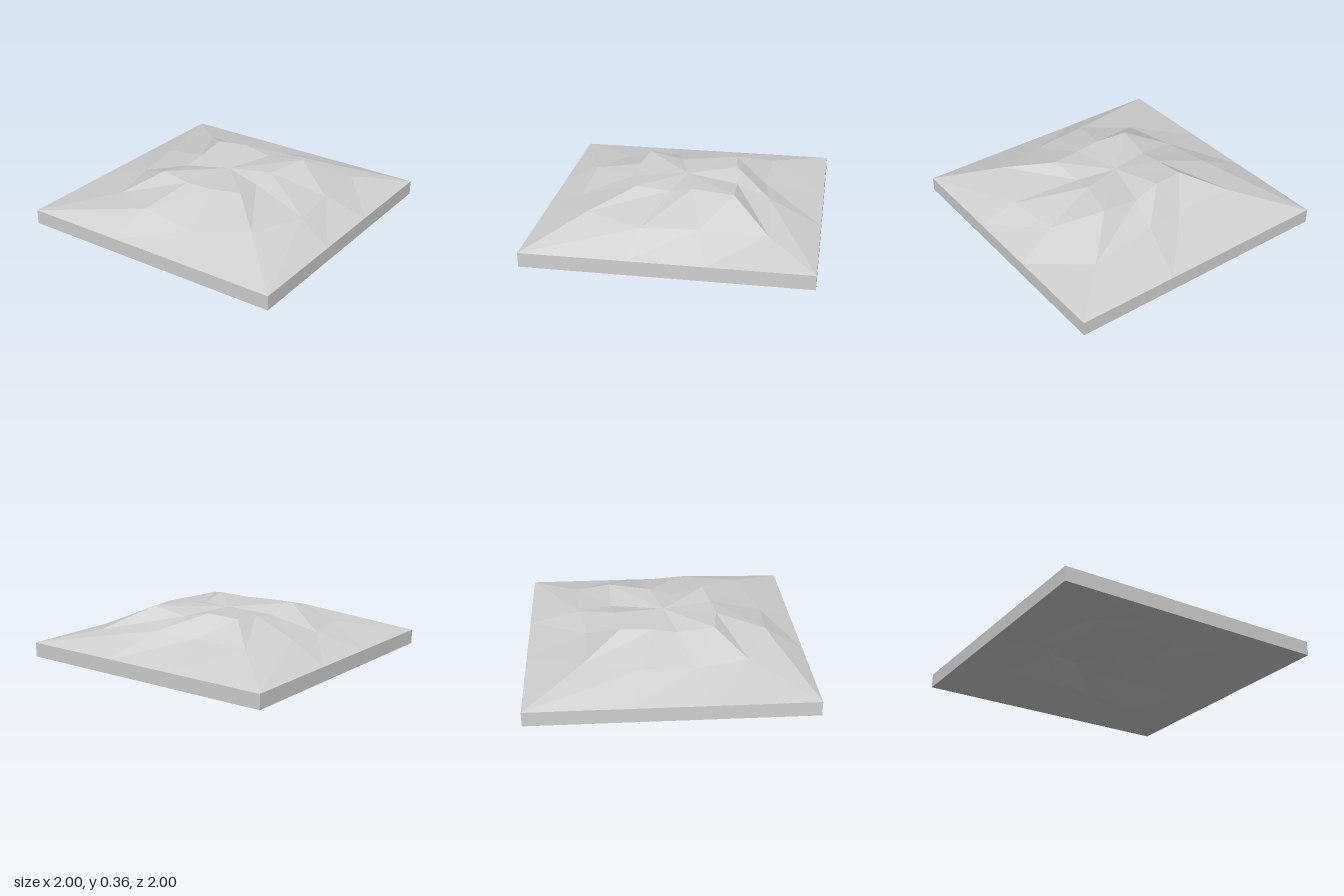
import * as THREE from 'three';

const RIM = 0.105; // height of the rim walls

// Twelve spokes, 15 deg from +x turning toward +z, then every 30 deg:
// [inner reach, inner top, inner thickness, middle reach, middle top, middle thickness]
const SPOKES = [
  [0.29, 0.31, 0.17, 0.76, 0.235, 0.185],
  [0.32, 0.345, 0.18, 0.61, 0.26, 0.165],
  [0.36, 0.33, 0.17, 0.75, 0.20, 0.165],
  [0.38, 0.335, 0.165, 0.73, 0.247, 0.165],
  [0.34, 0.345, 0.145, 0.56, 0.20, 0.17],
  [0.32, 0.30, 0.13, 0.66, 0.20, 0.165],
  [0.31, 0.325, 0.155, 0.69, 0.225, 0.165],
  [0.33, 0.345, 0.165, 0.59, 0.225, 0.155],
  [0.36, 0.36, 0.18, 0.56, 0.225, 0.16],
  [0.38, 0.315, 0.18, 0.62, 0.245, 0.165],
  [0.39, 0.355, 0.20, 0.66, 0.19, 0.145],
  [0.31, 0.345, 0.17, 0.71, 0.23, 0.18],
];

// Point on a spoke, measured on concentric squares
function spokePoint(k, reach, y) {
  const a = THREE.MathUtils.degToRad(15 + 30 * k);
  const c = Math.cos(a), s = Math.sin(a);
  const f = reach / Math.max(Math.abs(c), Math.abs(s));
  return [c * f, y, s * f];
}

// Triangles of a relief: a fan in the middle and two square rings around it
function relief(centre, rings) {
  const triangles = [];
  for (let k = 0; k < 12; k++) {
    const n = (k + 1) % 12;
    triangles.push([centre, rings[0][n], rings[0][k]]);
    for (let r = 0; r < 2; r++) {
      const a = rings[r], b = rings[r + 1];
      triangles.push([a[k], a[n], b[n]], [a[k], b[n], b[k]]);
    }
  }
  return triangles;
}

function geometryFrom(triangles) {
  const g = new THREE.BufferGeometry();
  g.setAttribute('position', new THREE.Float32BufferAttribute(triangles.flat(2), 3));
  g.computeVertexNormals();
  return g;
}

export function createModel() {
  const group = new THREE.Group();
  group.name = 'terrainTile';
  const stone = new THREE.MeshStandardMaterial({ color: 0xd0d0d0, flatShading: true });
  stone.name = 'stoneGrey';

  const rim = SPOKES.map((s, k) => spokePoint(k, 1, RIM));
  const base = SPOKES.map((s, k) => spokePoint(k, 1, 0));

  const top = relief([0, 0.33, 0], [
    SPOKES.map((s, k) => spokePoint(k, s[0], s[1])),
    SPOKES.map((s, k) => spokePoint(k, s[3], s[4])),
    rim,
  ]);

  // The underside is a shallower relief, turned to face down
  const bottom = relief([0, 0.15, 0], [
    SPOKES.map((s, k) => spokePoint(k, s[0], s[1] - s[2])),
    SPOKES.map((s, k) => spokePoint(k, s[3], s[4] - s[5])),
    base,
  ]).map(([a, b, c]) => [a, c, b]);

  const walls = rim.flatMap((p, k) => {
    const n = (k + 1) % 12;
    return [[p, rim[n], base[n]], [p, base[n], base[k]]];
  });

  const parts = { hillSurface: top, rimWalls: walls, underside: bottom };
  for (const [name, triangles] of Object.entries(parts)) {
    const mesh = new THREE.Mesh(geometryFrom(triangles), stone);
    mesh.name = name;
    group.add(mesh);
  }
  return group;
}
